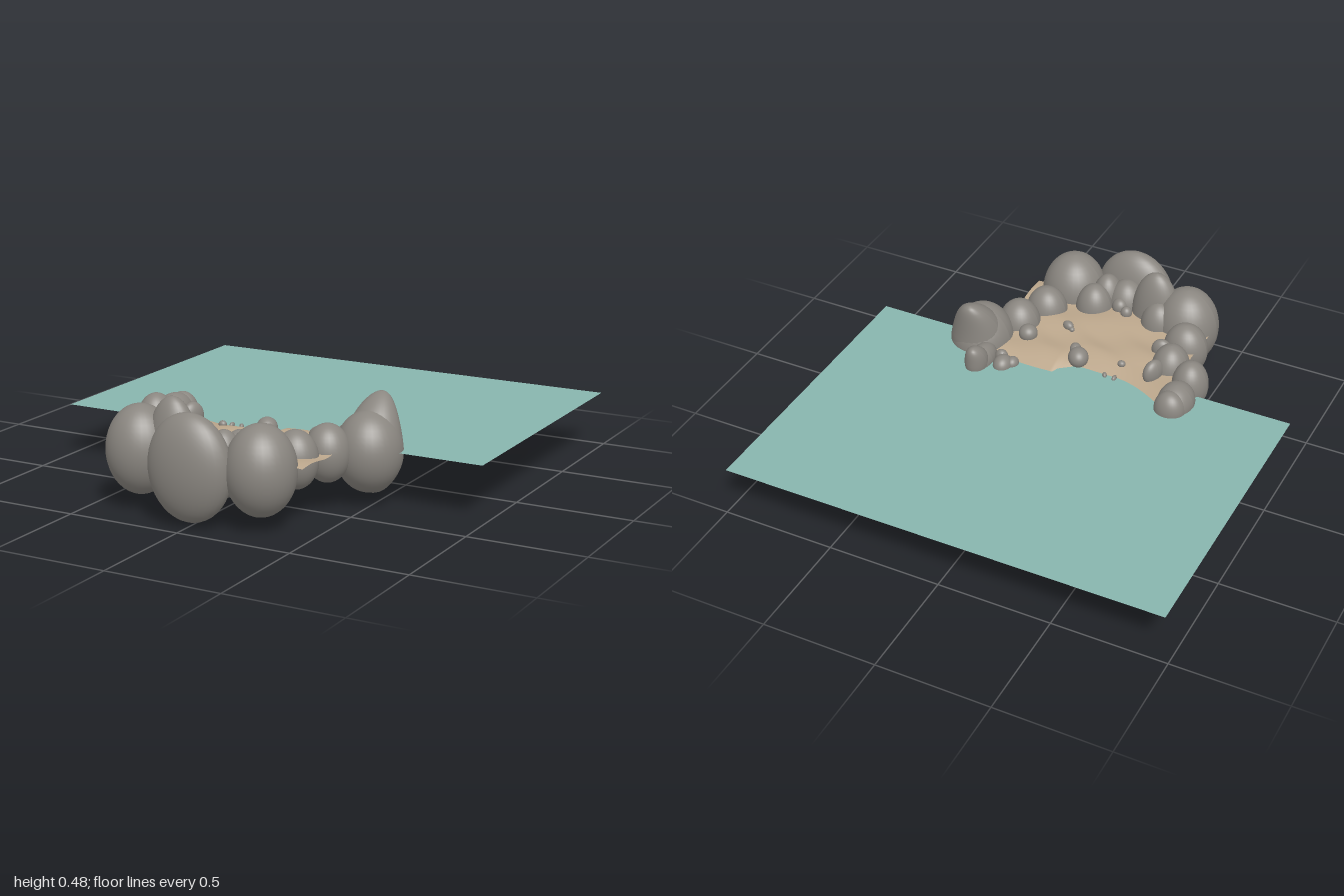
import * as THREE from 'three';

const rockMat = new THREE.MeshStandardMaterial({ color: 0x8a8680 });
const sandMat = new THREE.MeshStandardMaterial({ color: 0xbca78c, side: THREE.DoubleSide });
const waterMat = new THREE.MeshStandardMaterial({ color: 0x88b5ae, side: THREE.DoubleSide });

// Ellipsoid boulder; lean shifts its upper half sideways and narrows it towards the tip
function rock(name, [x, y, z], [rx, ry, rz], { turn = 0, lean = [0, 0], taper = 0 } = {}) {
  const geo = new THREE.SphereGeometry(1, 32, 22);
  const p = geo.attributes.position;
  for (let i = 0; i < p.count; i++) {
    const h = Math.max(0, p.getY(i));
    const k = 1 - taper * h;
    p.setXYZ(i, p.getX(i) * rx * k + lean[0] * h * h, p.getY(i) * ry, p.getZ(i) * rz * k + lean[1] * h * h);
  }
  geo.computeVertexNormals();
  const mesh = new THREE.Mesh(geo, rockMat);
  mesh.name = name;
  mesh.position.set(x, y, z);
  mesh.rotation.y = turn;
  return mesh;
}

// Height of the sand: a rippled beach dipping below the water at a wavy shoreline
function sandHeight(x, z) {
  const shore = x > 0.08 ? 0.2 : 0.285 - 0.9 * Math.max(0, -x - 0.18) ** 1.6 - 0.06 * Math.max(0, x) / 0.08;
  const ripple = 0.005 * Math.sin(19 * x + 5 * Math.sin(7 * z)) + 0.004 * Math.sin(23 * z + 9 * x);
  return 0.237 + 0.026 * Math.tanh((z - shore) / 0.07) + ripple * Math.min(1, Math.max(0.2, (z - shore) * 8));
}

export function createModel() {
  const group = new THREE.Group();

  // Flat sheet of sea
  const water = new THREE.Mesh(new THREE.PlaneGeometry(1.96, 1.31).rotateX(-Math.PI / 2), waterMat);
  water.name = 'water';
  water.position.set(0, 0.235, -0.345);
  group.add(water);

  // Beach
  const sandGeo = new THREE.PlaneGeometry(0.87, 0.58, 70, 48).rotateX(-Math.PI / 2).translate(-0.005, 0, 0.48);
  const p = sandGeo.attributes.position;
  for (let i = 0; i < p.count; i++) p.setY(i, sandHeight(p.getX(i), p.getZ(i)));
  sandGeo.computeVertexNormals();
  const sand = new THREE.Mesh(sandGeo, sandMat);
  sand.name = 'sand';
  group.add(sand);

  // Ring of boulders: centre, radii, options
  const boulders = new THREE.Group();
  boulders.name = 'boulders';
  [
    [[0, 0.24, 0.9], [0.185, 0.222, 0.1]],
    [[0.265, 0.243, 0.805], [0.145, 0.187, 0.145]],
    [[-0.31, 0.243, 0.77], [0.145, 0.187, 0.14]],
    [[-0.16, 0.24, 0.765], [0.115, 0.238, 0.078]],
    [[-0.375, 0.24, 0.605], [0.1, 0.125, 0.09]],
    [[-0.375, 0.24, 0.44], [0.085, 0.12, 0.09]],
    [[-0.498, 0.245, 0.365], [0.08, 0.115, 0.085]],
    [[0.37, 0.24, 0.455], [0.095, 0.122, 0.095]],
    [[0.305, 0.24, 0.6], [0.095, 0.122, 0.09]],
    [[0.12, 0.24, 0.71], [0.085, 0.125, 0.085]],
    [[0.09, 0.24, 0.79], [0.075, 0.14, 0.08]],
    [[-0.2, 0.24, 0.71], [0.085, 0.125, 0.08]],
    [[0, 0.24, 0.8], [0.09, 0.13, 0.09]],
  ].forEach(([c, r, o], i) => boulders.add(rock('boulder' + (i + 1), c, r, o)));
  group.add(boulders);

  // Headlands where the ring meets the sea
  group.add(
    rock('leaningBoulder', [0.48, 0.225, 0.305], [0.14, 0.17, 0.145]),
    rock('leaningPeak', [0.485, 0.25, 0.28], [0.125, 0.205, 0.115], { lean: [0, -0.075], taper: 0.2 }),
    rock('rightPoint', [0.4, 0.235, 0.145], [0.054, 0.065, 0.1]),
    rock('rightPointTip', [0.402, 0.255, 0.1], [0.05, 0.085, 0.06], { lean: [0, -0.03] }),
    rock('leftPoint', [-0.49, 0.24, 0.23], [0.08, 0.09, 0.1]),
    rock('leftPointTip', [-0.485, 0.24, 0.175], [0.07, 0.085, 0.062]),
  );

  // Pebbles and small stones half sunk in the beach: x, z, rx, ry, rz, turn
  const pebbles = new THREE.Group();
  pebbles.name = 'pebbles';
  [
    [0.3, 0.15, 0.042, 0.045, 0.05, 0],
    [0.265, 0.175, 0.028, 0.03, 0.032, 0],
    [0.325, 0.19, 0.03, 0.035, 0.025, 0],
    [0.28, 0.36, 0.042, 0.04, 0.042, 0],
    [0.01, 0.31, 0.045, 0.045, 0.05, 0.5],
    [0.045, 0.355, 0.025, 0.025, 0.03, 0.4],
    [0.145, 0.49, 0.028, 0.022, 0.02, -0.4],
    [0.12, 0.475, 0.012, 0.012, 0.012, 0],
    [-0.18, 0.35, 0.018, 0.016, 0.016, 0],
    [-0.182, 0.27, 0.01, 0.014, 0.017, 0],
    [-0.135, 0.272, 0.01, 0.014, 0.016, 0.5],
    [-0.335, 0.34, 0.033, 0.06, 0.055, -0.4],
    [-0.3, 0.51, 0.045, 0.05, 0.03, 0.2],
    [-0.045, 0.695, 0.026, 0.03, 0.026, 0],
    [0, 0.725, 0.036, 0.04, 0.035, 0],
  ].forEach(([x, z, rx, ry, rz, turn], i) =>
    pebbles.add(rock('pebble' + (i + 1), [x, sandHeight(x, z) + ry * 0.3, z], [rx, ry, rz], { turn })));
  group.add(pebbles);

  return group;
}
